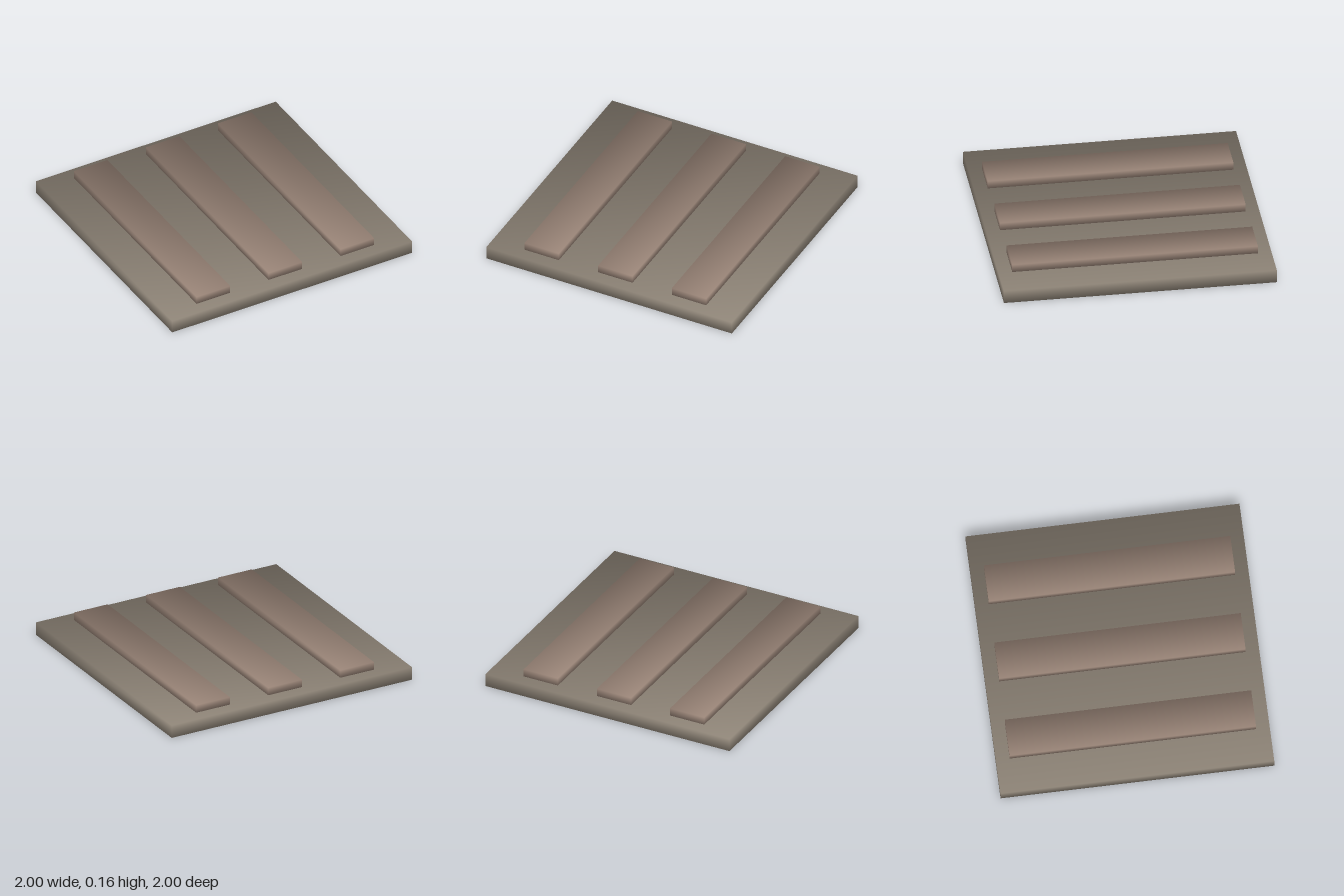
import * as THREE from 'three';

// Box whose shading is rounded: each corner normal points out along its diagonal.
function softBox(w, h, d) {
  const geometry = new THREE.BoxGeometry(w, h, d);
  const { position, normal } = geometry.attributes;
  const n = new THREE.Vector3();
  for (let i = 0; i < position.count; i++) {
    n.set(Math.sign(position.getX(i)), Math.sign(position.getY(i)), Math.sign(position.getZ(i))).normalize();
    normal.setXYZ(i, n.x, n.y, n.z);
  }
  return geometry;
}

export function createModel() {
  const model = new THREE.Group();
  model.name = 'slattedPanel';

  const PANEL_HEIGHT = 0.1;
  const SLAT_HEIGHT = 0.06;

  // Square base panel
  const panel = new THREE.Mesh(
    softBox(2, PANEL_HEIGHT, 2),
    new THREE.MeshStandardMaterial({ color: 0x8f8578 })
  );
  panel.name = 'basePanel';
  panel.position.y = PANEL_HEIGHT / 2;
  model.add(panel);

  // Three raised slats running front to back
  const slatGeometry = softBox(0.28, SLAT_HEIGHT, 1.8);
  const slatMaterial = new THREE.MeshStandardMaterial({ color: 0x9a8578 });
  const slats = { rightSlat: -0.6, middleSlat: 0, leftSlat: 0.6 };
  for (const [name, x] of Object.entries(slats)) {
    const slat = new THREE.Mesh(slatGeometry, slatMaterial);
    slat.name = name;
    slat.position.set(x, PANEL_HEIGHT + SLAT_HEIGHT / 2, 0);
    model.add(slat);
  }

  return model;
}
